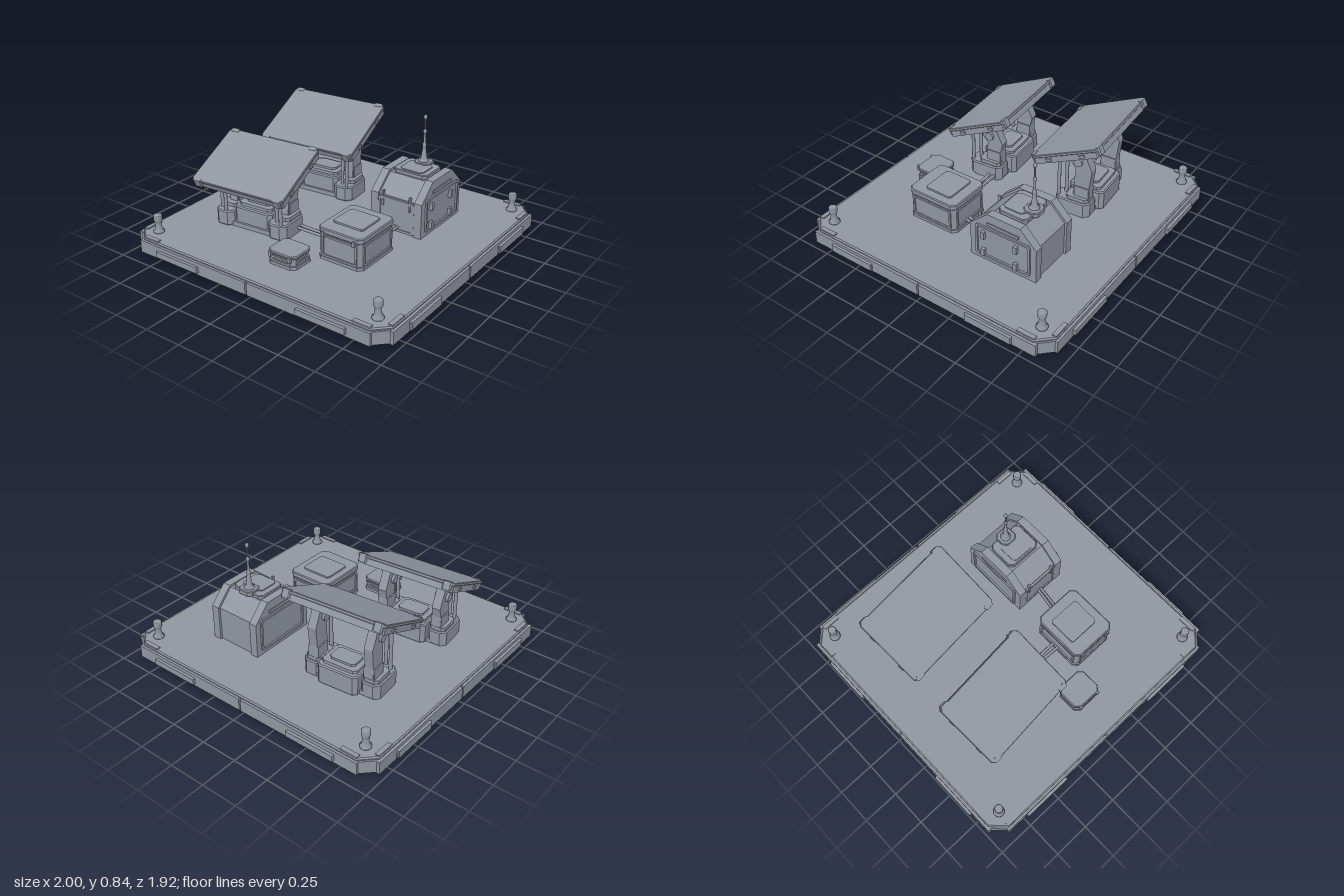
import * as THREE from 'three';

const grey = new THREE.MeshStandardMaterial({ color: 0x9095a0 });
grey.name = 'steel grey';

function add(parent, geo, name, x = 0, y = 0, z = 0, ry = 0) {
  const m = new THREE.Mesh(geo, grey);
  m.name = name;
  m.position.set(x, y, z);
  m.rotation.y = ry;
  parent.add(m);
  return m;
}
const box = (w, h, d) => new THREE.BoxGeometry(w, h, d);

function octagon(w, d, c, Type = THREE.Shape) {
  const a = w / 2, b = d / 2;
  return new Type([[a, -b + c], [a, b - c], [a - c, b], [-a + c, b], [-a, b - c], [-a, -b + c], [-a + c, -b], [a - c, -b]]
    .map(p => new THREE.Vector2(...p)));
}
// slab standing on y = 0 with cut corners and optional bevelled rims
function slab(w, d, h, c, bevel = 0) {
  const g = new THREE.ExtrudeGeometry(octagon(w, d, c), {
    depth: h - 2 * bevel, bevelEnabled: bevel > 0, bevelSize: bevel, bevelThickness: bevel, bevelOffset: -bevel, bevelSegments: 1,
  });
  g.translate(0, 0, bevel);
  return g.rotateX(-Math.PI / 2);
}
// flat rectangular frame facing +z
function frame(w, h, border, t) {
  const s = octagon(w, h, 0.012);
  s.holes.push(octagon(w - 2 * border, h - 2 * border, 0.008, THREE.Path));
  return new THREE.ExtrudeGeometry(s, { depth: t, bevelEnabled: false });
}
// side profile of [z, y] points, given thickness along x
function sideProfile(pts, width) {
  const g = new THREE.ExtrudeGeometry(new THREE.Shape(pts.map(p => new THREE.Vector2(...p))), { depth: width, bevelEnabled: false });
  return g.translate(0, 0, -width / 2).rotateY(-Math.PI / 2);
}
function pipe(points, r) {
  const c = new THREE.CatmullRomCurve3(points.map(p => new THREE.Vector3(...p)));
  return new THREE.TubeGeometry(c, 16, r, 8);
}
const lathe = (pts, n) => new THREE.LatheGeometry(pts.map(p => new THREE.Vector2(...p)), n);
function group(parent, name, x, y, z, ry = 0) {
  const g = new THREE.Group();
  g.name = name;
  g.position.set(x, y, z);
  g.rotation.y = ry;
  parent.add(g);
  return g;
}

const DECK = 0.135;

function platform(root) {
  const p = group(root, 'platform', 0, 0, 0);
  add(p, slab(1.87, 1.8, 0.035, 0.1, 0.008), 'platformFoot');
  add(p, slab(1.93, 1.85, 0.105, 0.095, 0.008), 'platformDeck', 0, 0.03);
  for (const s of [-1, 1]) for (const e of [-1, 1]) {
    // edge rails, raised plates and corner trims
    add(p, box(0.88, 0.085, 0.02), 'edgeRail', e * 0.446, 0.078, s * 0.931);
    add(p, box(0.02, 0.085, 0.85), 'edgeRail', s * 0.972, 0.078, e * 0.431);
    add(p, box(0.345, 0.04, 0.022), 'edgePlate', e * 0.555, 0.075, s * 0.949);
    add(p, slab(0.02, 0.335, 0.05, 0.006), 'edgePlate', s * 0.99, 0.05, e * 0.53);
    add(p, box(0.13, 0.085, 0.015), 'cornerPlate', e * 0.919, 0.078, s * 0.881, Math.PI / 4 * s * e);
    add(p, box(0.12, 0.01, 0.03), 'cornerTrim', e * 0.81, DECK + 0.003, s * 0.905);
    add(p, box(0.03, 0.01, 0.12), 'cornerTrim', e * 0.945, DECK + 0.003, s * 0.77);
    // bollards
    add(p, lathe([[0, 0], [0.036, 0], [0.036, 0.012], [0.027, 0.018], [0.018, 0.06], [0.025, 0.082], [0.028, 0.085], [0.028, 0.12], [0.023, 0.125], [0, 0.125]], 16),
      'bollard', e * 0.85, DECK, s * 0.81);
  }
}

// tilted panel on a two-armed pedestal
function panelUnit(root, x, z, w, d, centre, offset) {
  const u = group(root, 'panelUnit', x, 0, z, 0.085);
  add(u, slab(0.55, 0.22, 0.035, 0.03), 'pedestalPlate', 0, DECK - 0.005);
  add(u, slab(0.29, 0.25, 0.14, 0.025, 0.008), 'pedestalHousing', 0, DECK, -0.03);
  add(u, slab(0.25, 0.19, 0.02, 0.02), 'housingLid', 0, DECK + 0.14, -0.03);
  add(u, slab(0.18, 0.12, 0.02, 0.02), 'housingPad', 0, DECK + 0.155, -0.03);
  const top = centre - 0.025;
  for (const s of [-1, 1]) {
    add(u, slab(0.14, 0.25, 0.105, 0.035, 0.008), 'pedestalBlock', s * 0.205, DECK, 0.01);
    add(u, slab(0.11, 0.16, 0.03, 0.02), 'armSeat', s * 0.205, DECK + 0.1, -0.02);
    // kinked arm with a hub
    add(u, sideProfile([[0.02, 0.23], [-0.1, 0.23], [-0.095, 0.34], [-0.11, top - 0.12], [-0.055, top], [0.04, top - 0.03], [0.045, top - 0.08], [0.005, top - 0.13]], 0.06),
      'supportArm', s * 0.2);
    add(u, new THREE.CylinderGeometry(0.03, 0.03, 0.095, 12).rotateZ(Math.PI / 2), 'armHub', s * 0.2, top - 0.07, -0.015);
    add(u, box(0.075, 0.08, 0.1), 'armCuff', s * 0.2, 0.3, -0.045);
    // front struts
    const h = centre - 0.08 - 0.22;
    for (const k of [-0.025, 0.025])
      add(u, new THREE.CylinderGeometry(0.012, 0.012, h, 10), 'frontStrut', s * 0.215 + k, 0.22 + h / 2, 0.1 + k * 0.6);
  }
  const p = group(u, 'tiltedPanel', 0, centre, offset);
  p.rotation.x = 0.43;
  add(p, slab(w, d, 0.02, 0.018, 0.004), 'panelFace', 0, 0.012);
  const rim = frame(w - 0.015, d - 0.015, 0.035, 0.045).rotateX(-Math.PI / 2);
  add(p, rim, 'panelRim', 0, -0.03);
  add(p, slab(w * 0.5, d * 0.45, 0.025, 0.03, 0.006), 'backHousing', 0, -0.012);
  for (const s of [-1, 1]) {
    add(p, box(0.07, 0.03, d * 0.8), 'backRib', s * 0.2, -0.005, 0);
    for (const e of [-1, 1]) {
      add(p, slab(0.06, 0.03, 0.055, 0.008), 'cornerClip', s * (w / 2 - 0.045), -0.02, e * (d / 2 - 0.01));
      add(p, box(0.008, 0.018, 0.04), 'sideLatch', s * (w / 2 - 0.004), -0.008, e * d * 0.25);
    }
  }
}

function shelter(root) {
  const g = group(root, 'shelter', 0.38, 0, -0.335);
  const profile = k => [[0.245 - k, DECK], [0.245 - k, 0.375 - k / 2], [0.115 - k / 2, 0.49 - k], [-0.125 + k / 2, 0.49 - k], [-0.24 + k, 0.375 - k / 2], [-0.24 + k, DECK]];
  add(g, sideProfile(profile(0.015), 0.36), 'shelterBody');
  for (const s of [-1, 1]) {
    add(g, sideProfile(profile(0), 0.055), 'shelterEndRib', s * 0.163);
    add(g, frame(0.4, 0.23, 0.014, 0.012), 'sideFrame', s * 0.19, 0.28, 0, s * Math.PI / 2);
    add(g, box(0.01, 0.02, 0.23), 'sideVent', s * 0.193, 0.42, 0);
    add(g, box(0.012, 0.1, 0.02), 'doorHandle', s * 0.1, 0.35, 0.238);
  }
  add(g, box(0.25, 0.2, 0.012), 'frontDoor', 0, 0.25, 0.232);
  add(g, frame(0.27, 0.22, 0.015, 0.015), 'frontFrame', 0, 0.25, 0.23);
  for (const [y, z] of [[0.33, -0.1], [0.2, -0.1], [0.33, 0.14], [0.2, 0.14]])
    add(g, box(0.022, 0.05, 0.025), 'sideHinge', 0.203, y, z);
  // roof pad and mast
  add(g, slab(0.25, 0.21, 0.03, 0.025, 0.005), 'roofPad', -0.002, 0.47, -0.01);
  add(g, slab(0.17, 0.15, 0.012, 0.02), 'roofHatch', 0, 0.495, 0.005);
  add(g, slab(0.115, 0.11, 0.035, 0.025, 0.005), 'mastBase', -0.002, 0.48, -0.09);
  add(g, lathe([[0, 0], [0.035, 0], [0.035, 0.012], [0.022, 0.02], [0.011, 0.1], [0.014, 0.11], [0.014, 0.125], [0.009, 0.13], [0.007, 0.2], [0.012, 0.205], [0.012, 0.22],
    [0.005, 0.225], [0.005, 0.295], [0.011, 0.3], [0.013, 0.312], [0.008, 0.325], [0, 0.328]], 14), 'mast', -0.004, 0.51, -0.09);
}

// equipment crate with lid, pad and framed sides
function crate(root, name, x, z, w, d, h, pad) {
  const g = group(root, name, x, DECK, z);
  const lid = h * 0.14 + 0.008;
  add(g, slab(w - 0.02, d - 0.02, h - lid, 0.025), 'crateBody');
  add(g, slab(w, d, lid, 0.03, 0.006), 'crateLid', 0, h - lid);
  add(g, slab(w, d, 0.02, 0.03), 'crateSill');
  if (pad) add(g, slab(0.22, 0.2, 0.014, 0.012), 'cratePad', -0.005, h - 0.002, -0.01);
  const fh = h - lid - 0.03, fy = 0.022 + fh / 2;
  for (const s of [-1, 1]) {
    add(g, frame(w - 0.07, fh, 0.013, 0.01), 'crateFrame', 0, fy, s * (d / 2 - 0.011), s > 0 ? 0 : Math.PI);
    add(g, frame(d - 0.07, fh, 0.013, 0.01), 'crateFrame', s * (w / 2 - 0.011), fy, 0, s * Math.PI / 2);
    add(g, box(0.02, 0.035, 0.02), 'crateLatch', s * w * 0.34, h - lid, d / 2);
  }
}

export function createModel() {
  const root = new THREE.Group();
  root.name = 'equipmentPlatform';
  platform(root);
  panelUnit(root, -0.39, 0.34, 0.695, 0.48, 0.55, 0.025);
  panelUnit(root, -0.385, -0.365, 0.72, 0.505, 0.625, 0.025);
  shelter(root);
  crate(root, 'largeCrate', 0.335, 0.283, 0.33, 0.375, 0.215, true);
  crate(root, 'smallCrate', 0.065, 0.603, 0.215, 0.19, 0.09, false);
  // cables between the units
  for (const k of [-1, 1]) {
    add(root, pipe([[-0.15, 0.17, 0.27 + k * 0.02], [0, 0.165, 0.265 + k * 0.016], [0.19, 0.17, 0.27 + k * 0.02]], 0.01), 'panelCable');
    add(root, pipe([[0.35 + k * 0.014, 0.17, 0.11], [0.37 + k * 0.012, 0.165, 0.01], [0.385 + k * 0.01, 0.17, -0.11]], 0.009), 'shelterCable');
  }
  return root;
}
